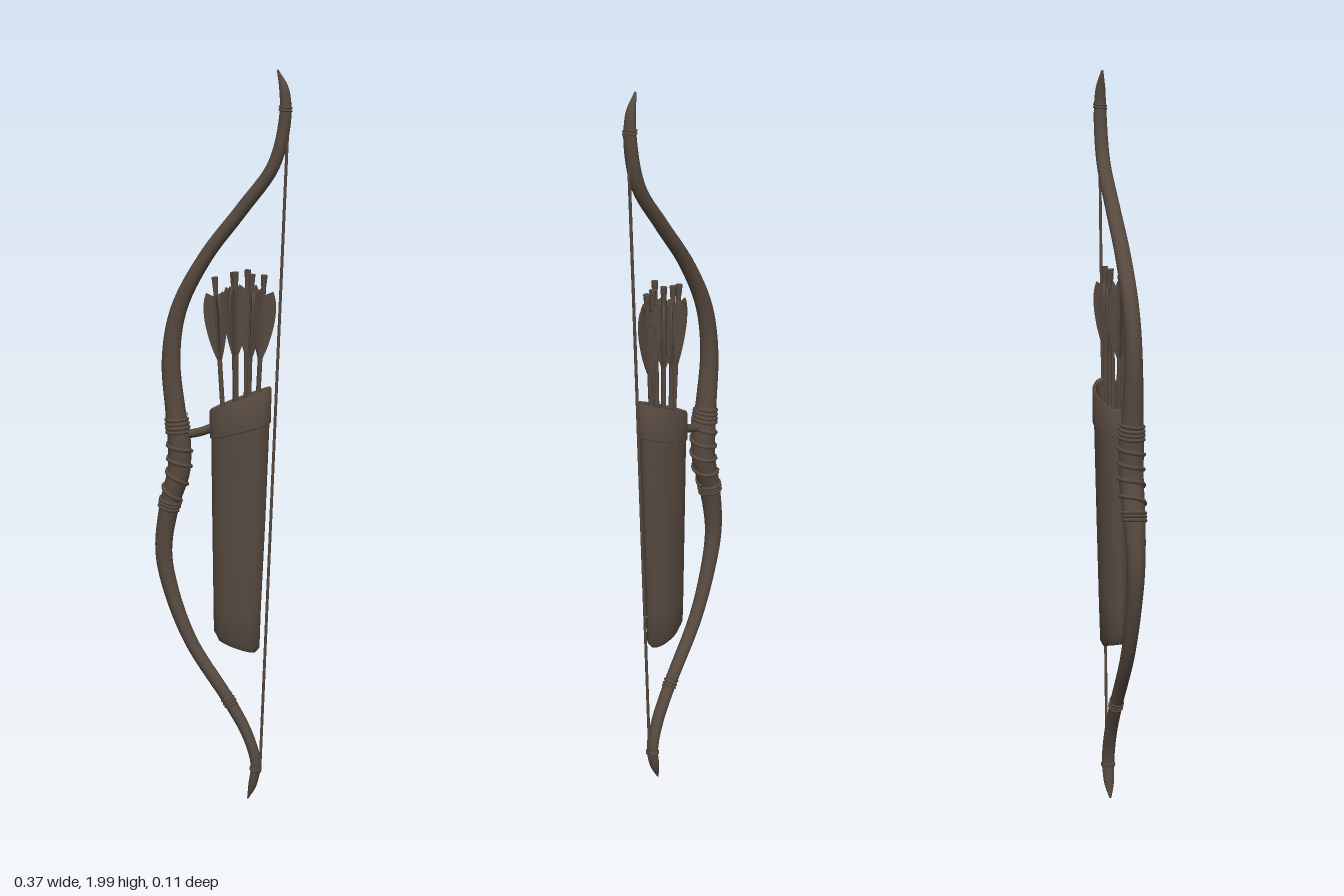
import * as THREE from 'three';
import { toCreasedNormals } from 'three/addons/utils/BufferGeometryUtils.js';

const Z = -0.012; // shared depth of the bow and quiver
const leather = new THREE.MeshStandardMaterial({ color: 0x574a40 });
leather.name = 'dark brown leather and wood';

function add(parent, name, geometry) {
  const mesh = new THREE.Mesh(geometry, leather);
  mesh.name = name;
  parent.add(mesh);
  return mesh;
}

// Skin a list of equal rings, each a closed loop of points
function loft(rings) {
  const n = rings[0].length, index = [];
  for (let i = 0; i < rings.length - 1; i++) {
    for (let j = 0; j < n; j++) {
      const k = (j + 1) % n;
      const a = i * n + j, b = i * n + k, c = a + n, d = b + n;
      index.push(a, c, b, b, c, d);
    }
  }
  const g = new THREE.BufferGeometry().setFromPoints(rings.flat());
  g.setIndex(index);
  g.computeVertexNormals();
  return g;
}

// Bow centreline from lower to upper tip: x, y, half width, half depth
const bowRows = [
  [0.074, 0.004, 0.002, 0.003], [0.088, 0.05, 0.012, 0.015], [0.096, 0.11, 0.014, 0.018],
  [0.073, 0.19, 0.015, 0.018], [0.02, 0.285, 0.017, 0.018], [-0.09, 0.45, 0.018, 0.019],
  [-0.148, 0.6, 0.021, 0.021], [-0.166, 0.705, 0.023, 0.024], [-0.148, 0.835, 0.027, 0.03],
  [-0.122, 0.93, 0.031, 0.033], [-0.12, 1.01, 0.031, 0.034], [-0.131, 1.1, 0.027, 0.029],
  [-0.142, 1.235, 0.025, 0.024], [-0.12, 1.37, 0.022, 0.022], [-0.047, 1.51, 0.019, 0.021],
  [0.053, 1.64, 0.018, 0.02], [0.137, 1.755, 0.017, 0.019], [0.166, 1.87, 0.016, 0.018],
  [0.164, 1.945, 0.013, 0.014], [0.146, 1.997, 0.002, 0.003],
];
const bowPath = new THREE.CatmullRomCurve3(bowRows.map(([x, y]) => new THREE.Vector3(x, y, Z)));
const bowSize = new THREE.CatmullRomCurve3(bowRows.map(([, , w, d]) => new THREE.Vector3(w, d, 0)));

// Point on the bow's skin, lifted outward by some amount
function bowPoint(t, angle, lift = 0) {
  const p = bowPath.getPoint(t), tan = bowPath.getTangent(t), s = bowSize.getPoint(t);
  const w = Math.max(s.x, 0.001) + lift, d = Math.max(s.y, 0.001) + lift;
  const side = Math.cos(angle) * w;
  return new THREE.Vector3(p.x + tan.y * side, p.y - tan.x * side, p.z + Math.sin(angle) * d);
}

// Cord wound round the bow between two rows of the centreline
function winding(parent, name, from, to, turns, radius) {
  const pts = [], steps = Math.ceil(turns * 14);
  for (let i = 0; i <= steps; i++) {
    const u = i / steps;
    pts.push(bowPoint((from + (to - from) * u) / (bowRows.length - 1), u * turns * Math.PI * 2));
  }
  add(parent, name, new THREE.TubeGeometry(new THREE.CatmullRomCurve3(pts), steps * 2, radius, 6));
}

function makeBow() {
  const bow = new THREE.Group();
  bow.name = 'bow';
  const rings = [];
  for (let i = 0; i <= 120; i++) {
    rings.push(Array.from({ length: 16 }, (_, j) => bowPoint(i / 120, (j / 16) * Math.PI * 2)));
  }
  add(bow, 'limbs', loft(rings));

  // Grip bindings and limb ties
  winding(bow, 'lowerGripBinding', 7.9, 8.15, 3, 0.005);
  winding(bow, 'gripWrap', 8.2, 10.2, 4, 0.006);
  winding(bow, 'upperGripBinding', 10.3, 10.8, 4, 0.005);
  winding(bow, 'lowerLimbTie', 3.9, 4.1, 3, 0.003);
  winding(bow, 'lowerNockTie', 1.7, 1.85, 2, 0.003);
  winding(bow, 'upperNockTie', 17.3, 17.5, 2, 0.003);

  // Bowstring
  const string = new THREE.LineCurve3(new THREE.Vector3(0.108, 0.085, Z), new THREE.Vector3(0.176, 1.91, Z));
  add(bow, 'bowstring', new THREE.TubeGeometry(string, 1, 0.004, 8));
  return bow;
}

function makeQuiver() {
  const quiver = new THREE.Group();
  quiver.name = 'quiver';
  // Rings: centre x, y, half width, half depth, slant across x
  const rows = [
    [0.042, 0.448, 0.001, 0.001, -0.28], [0.042, 0.448, 0.052, 0.025, -0.28],
    [0.041, 0.468, 0.064, 0.034, -0.32], [0.042, 0.56, 0.066, 0.037, -0.1],
    [0.046, 0.8, 0.073, 0.042, 0], [0.049, 1.0, 0.078, 0.046, 0.2],
    [0.05, 1.05, 0.079, 0.047, 0.3], [0.05, 1.052, 0.083, 0.051, 0.3],
    [0.05, 1.134, 0.084, 0.051, 0.42], [0.05, 1.14, 0.081, 0.048, 0.42],
    [0.05, 1.136, 0.074, 0.042, 0.42], [0.049, 0.95, 0.068, 0.037, 0], [0.049, 0.95, 0.001, 0.001, 0],
  ];
  const rings = rows.map(([cx, y, rx, rz, slant]) => Array.from({ length: 32 }, (_, j) => {
    const a = (j / 32) * Math.PI * 2, dx = Math.cos(a) * rx;
    return new THREE.Vector3(cx + dx, y + slant * dx, Z + Math.sin(a) * rz);
  }));
  add(quiver, 'quiverBody', toCreasedNormals(loft(rings), 0.7));

  // Strap tying the quiver to the grip
  const strap = new THREE.CatmullRomCurve3([[-0.115, 1.03], [-0.07, 1.038], [-0.02, 1.057]]
    .map(([x, y]) => new THREE.Vector3(x, y, Z)));
  add(quiver, 'strap', new THREE.TubeGeometry(strap, 8, 0.012, 8));
  return quiver;
}

// Feather outline measured down from the arrow's end
const feather = new THREE.Shape();
feather.moveTo(0, -0.055);
feather.lineTo(0.026, -0.042);
feather.quadraticCurveTo(0.04, -0.07, 0.034, -0.12);
feather.quadraticCurveTo(0.026, -0.18, 0, -0.235);
feather.closePath();
const featherGeometry = new THREE.ExtrudeGeometry(feather, { depth: 0.005, bevelEnabled: false, curveSegments: 6 });
featherGeometry.translate(0, 0, -0.0025);

function makeArrow(base, top, turn) {
  const arrow = new THREE.Group();
  arrow.name = 'arrow';
  const along = top.clone().sub(base), length = along.length();
  const shaft = add(arrow, 'shaft', new THREE.CylinderGeometry(0.0065, 0.0065, length, 8));
  shaft.position.y = -length / 2;
  const nock = add(arrow, 'nock', new THREE.CylinderGeometry(0.009, 0.007, 0.03, 8));
  nock.position.y = -0.015;
  for (let i = 0; i < 3; i++) {
    add(arrow, 'feather', featherGeometry).rotation.y = turn + (i * Math.PI * 2) / 3;
  }
  arrow.position.copy(top);
  arrow.quaternion.setFromUnitVectors(new THREE.Vector3(0, 1, 0), along.normalize());
  return arrow;
}

export function createModel() {
  const model = new THREE.Group();
  model.name = 'bowAndQuiver';
  model.add(makeBow(), makeQuiver());

  // Arrows: base x, base z, top x, top y, top z, feather turn
  const arrows = [
    [0.012, -0.01, -0.02, 1.46, -0.01, Math.PI], [0.035, -0.025, 0.025, 1.472, -0.028, -1.5],
    [0.045, 0.008, 0.044, 1.48, 0.018, -1.75], [0.06, -0.025, 0.064, 1.48, -0.03, -1.4],
    [0.072, 0.0, 0.082, 1.472, -0.008, -1.2], [0.088, -0.015, 0.113, 1.47, -0.015, 0],
  ];
  for (const [bx, bz, tx, ty, tz, turn] of arrows) {
    model.add(makeArrow(new THREE.Vector3(bx, 0.94, bz), new THREE.Vector3(tx, ty, tz), turn));
  }
  return model;
}
